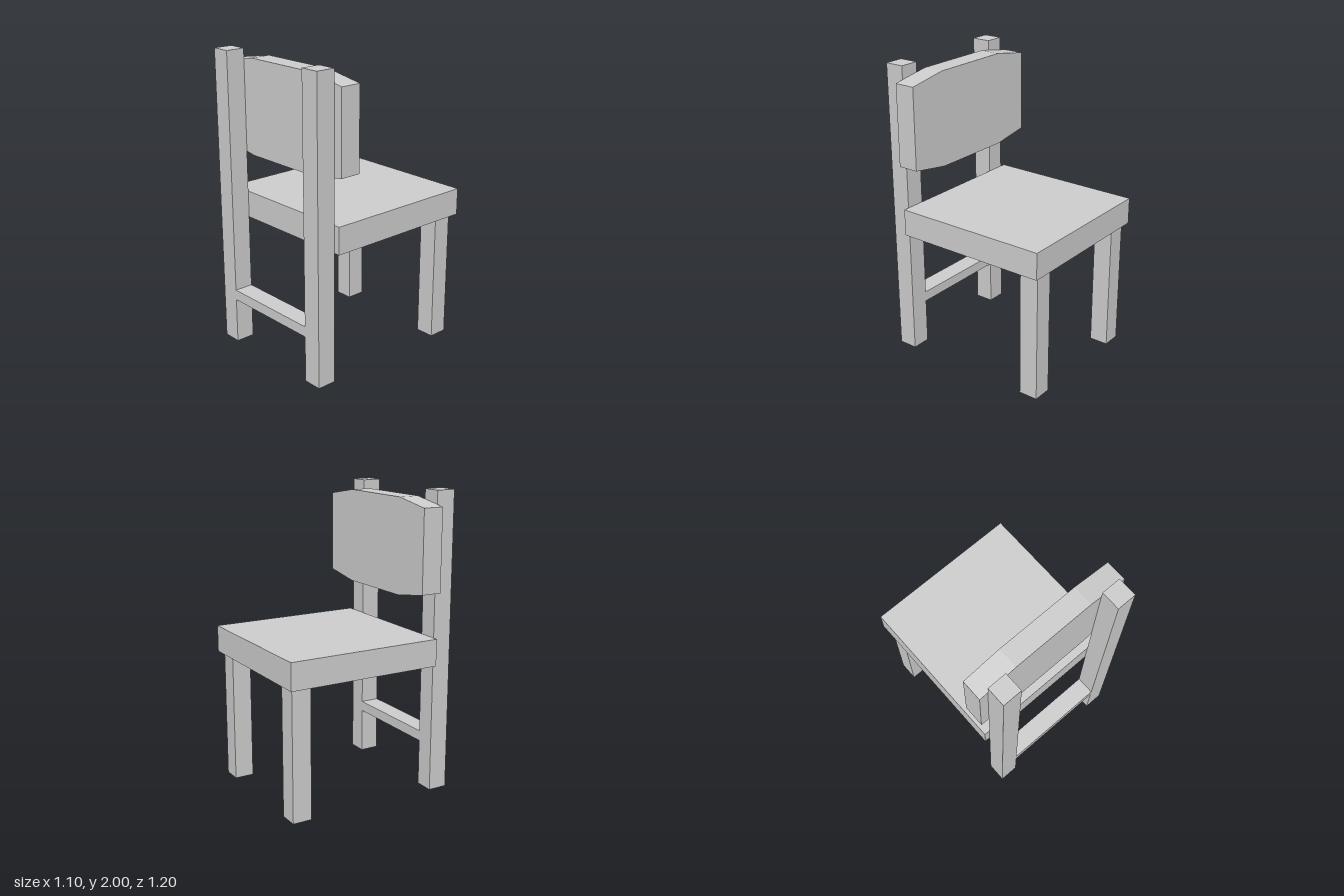
import * as THREE from 'three';

const material = new THREE.MeshStandardMaterial({ color: 0xcccccc, flatShading: true });

// Box given by its min and max corners
function box(name, [x0, y0, z0], [x1, y1, z1]) {
  const mesh = new THREE.Mesh(new THREE.BoxGeometry(x1 - x0, y1 - y0, z1 - z0), material);
  mesh.position.set((x0 + x1) / 2, (y0 + y1) / 2, (z0 + z1) / 2);
  mesh.name = name;
  return mesh;
}

export function createModel() {
  const chair = new THREE.Group();
  chair.name = 'chair';

  // Seat slab
  chair.add(box('seat', [-0.525, 0.875, -0.596], [0.53, 1.055, 0.465]));

  // Tall back posts and short front legs
  for (const [side, s] of [['left', 1], ['right', -1]]) {
    const post = box(side + 'BackPost', [-0.065, 0, 0.466], [0.065, 2, 0.596]);
    post.position.x = s * 0.424;
    const leg = box(side + 'FrontLeg', [-0.065, 0, -0.57], [0.065, 0.875, -0.44]);
    leg.position.x = s * 0.418;
    chair.add(post, leg);
  }

  // Rung between the back posts
  chair.add(box('backRung', [-0.36, 0.31, 0.466], [0.36, 0.38, 0.596]));

  // Backrest panel with sloping shoulders
  const outline = new THREE.Shape([
    [-0.548, 1.36], [-0.283, 1.317], [0.283, 1.317], [0.55, 1.36],
    [0.55, 1.903], [0.283, 1.948], [-0.283, 1.948], [-0.548, 1.903],
  ].map(([x, y]) => new THREE.Vector2(x, y)));
  const backrest = new THREE.Mesh(
    new THREE.ExtrudeGeometry(outline, { depth: 0.141, bevelEnabled: false }), material);
  backrest.position.z = 0.324;
  backrest.name = 'backrest';
  chair.add(backrest);

  // The chair stands very slightly turned
  chair.rotation.y = -0.0076;
  const model = new THREE.Group();
  model.add(chair);
  return model;
}
